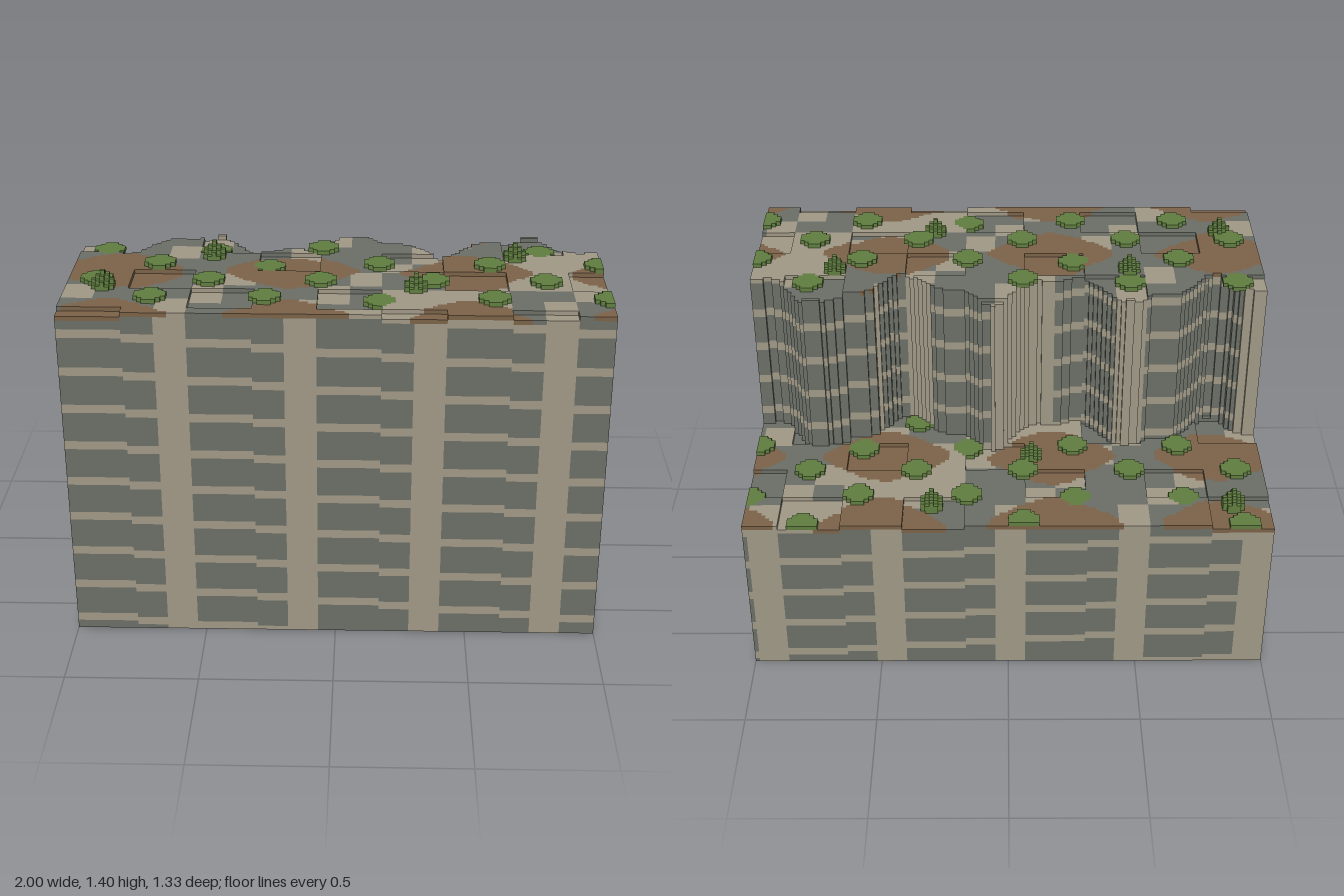
import * as THREE from 'three';

// Block grid: 120 wide, 84 tall, 80 deep; one block is 1/60 unit.
const SIZE = [120, 84, 80];
const UNIT = 1 / 60;
const [PALE, GREY, SOIL, LEAF] = [1, 2, 3, 4];
const { floor, abs, sin, cos, round } = Math;

const at = (x, y, z) => (y * SIZE[2] + z) * SIZE[0] + x;
const inside = (x, y, z) =>
  x >= 0 && y >= 0 && z >= 0 && x < SIZE[0] && y < SIZE[1] && z < SIZE[2];

// Wavy cliff line that divides the high plateau (front) from the low terrace (back).
const cliffLine = (x) => round(38 + 5.2 * sin(0.17 * x) - 1.8 * sin(0.43 * x));

// Ground height, with shallow one-block dips in some patches.
function groundHeight(x, z) {
  const dip = (floor(x / 14) * 3 + floor(z / 11) * 5) % 7 < 2 ? 1 : 0;
  return (z >= cliffLine(x) ? 80 : 40) - dip;
}

// Stepped strata and diagonal pale veins in the rock.
function rockKind(x, y, z) {
  const stratum = (y + floor(x / 14) + floor(z / 11)) % 9 < 2;
  const vein = (floor(x / 7) + floor(z / 8)) % 4 === 0;
  return stratum || vein ? PALE : GREY;
}

function fillGround(grid) {
  for (let x = 0; x < SIZE[0]; x++) {
    for (let z = 0; z < SIZE[2]; z++) {
      const h = groundHeight(x, z);
      for (let y = 0; y < h; y++) grid[at(x, y, z)] = rockKind(x, y, z);
      // Soil patches in the surface layer
      if (sin(0.16 * x) + cos(0.23 * z) > 0.25) grid[at(x, h - 1, z)] = SOIL;
    }
  }
}

// One flat layer of leaves around a centre, limited by a rule on the offsets.
function leafLayer(grid, cx, y, cz, reach, rule) {
  for (let dx = -reach; dx <= reach; dx++) {
    for (let dz = -reach; dz <= reach; dz++) {
      const x = cx + dx, z = cz + dz;
      if (rule(abs(dx), abs(dz)) && inside(x, y, z)) grid[at(x, y, z)] = LEAF;
    }
  }
}

// Low bushes in staggered rows, and a few small stepped conifers.
function fillPlants(grid) {
  for (let row = 0; row < 8; row++) {
    const z = row * 10 + 1;
    for (let x = row % 2 ? 19 : 6; x < 122; x += 25) {
      if (row === 0 && (x === 31 || x === 81)) continue;
      const y = groundHeight(Math.min(x, 119), z);
      leafLayer(grid, x, y, z, 3, (a, b) => a + b <= 4 && b <= 3);
    }
  }
  const trees = [[8, 8], [77, 8], [54, 27], [31, 46], [100, 46], [8, 65], [77, 65]];
  for (const [x, z] of trees) {
    const y = z > 40 ? 80 : 40;
    [3, 2, 1, 0].forEach((r, i) => leafLayer(grid, x, y + i, z, 2, (a, b) => a + b <= r));
    if (groundHeight(x, z) < y) leafLayer(grid, x, y - 1, z, 2, (a, b) => a + b <= 3);
  }
}

// Outer faces of all blocks of one kind, joined into strips.
function blockSurface(grid, kind) {
  const position = [], normal = [], index = [];
  const get = (p) => (inside(...p) ? grid[at(...p)] : 0);

  function addStrip(axis, sign, start, length) {
    const u = (axis + 1) % 3, v = (axis + 2) % 3;
    const base = position.length / 3;
    for (const [du, dv] of [[0, 0], [length, 0], [length, 1], [0, 1]]) {
      const p = [...start];
      p[axis] += sign > 0 ? 1 : 0;
      p[u] += du;
      p[v] += dv;
      position.push((p[0] - 60) * UNIT, p[1] * UNIT, (p[2] - 40) * UNIT);
      const n = [0, 0, 0];
      n[axis] = sign;
      normal.push(...n);
    }
    const order = sign > 0 ? [0, 1, 2, 0, 2, 3] : [0, 2, 1, 0, 3, 2];
    for (const i of order) index.push(base + i);
  }

  for (let axis = 0; axis < 3; axis++) {
    const u = (axis + 1) % 3, v = (axis + 2) % 3;
    for (const sign of [1, -1]) {
      for (let a = 0; a < SIZE[axis]; a++) {
        for (let j = 0; j < SIZE[v]; j++) {
          let run = 0;
          for (let i = 0; i <= SIZE[u]; i++) {
            const p = [0, 0, 0];
            p[axis] = a;
            p[u] = i;
            p[v] = j;
            const q = [...p];
            q[axis] += sign;
            if (i < SIZE[u] && get(p) === kind && get(q) === 0) {
              run++;
            } else if (run) {
              p[u] = i - run;
              addStrip(axis, sign, p, run);
              run = 0;
            }
          }
        }
      }
    }
  }
  const geometry = new THREE.BufferGeometry();
  geometry.setAttribute('position', new THREE.Float32BufferAttribute(position, 3));
  geometry.setAttribute('normal', new THREE.Float32BufferAttribute(normal, 3));
  geometry.setIndex(index);
  return geometry;
}

export function createModel() {
  const model = new THREE.Group();
  model.name = 'terracedCliff';

  const grid = new Uint8Array(SIZE[0] * SIZE[1] * SIZE[2]);
  fillGround(grid);
  fillPlants(grid);

  const parts = [
    [PALE, 'paleRockStrata', 'paleStone', 0x9f9785],
    [GREY, 'greyRock', 'greyStone', 0x6a6e66],
    [SOIL, 'soilPatches', 'brownSoil', 0x7a6148],
    [LEAF, 'bushesAndTrees', 'greenLeaves', 0x5f7c3f],
  ];
  for (const [kind, name, colourName, color] of parts) {
    const material = new THREE.MeshStandardMaterial({ color });
    material.name = colourName;
    const mesh = new THREE.Mesh(blockSurface(grid, kind), material);
    mesh.name = name;
    model.add(mesh);
  }
  return model;
}
